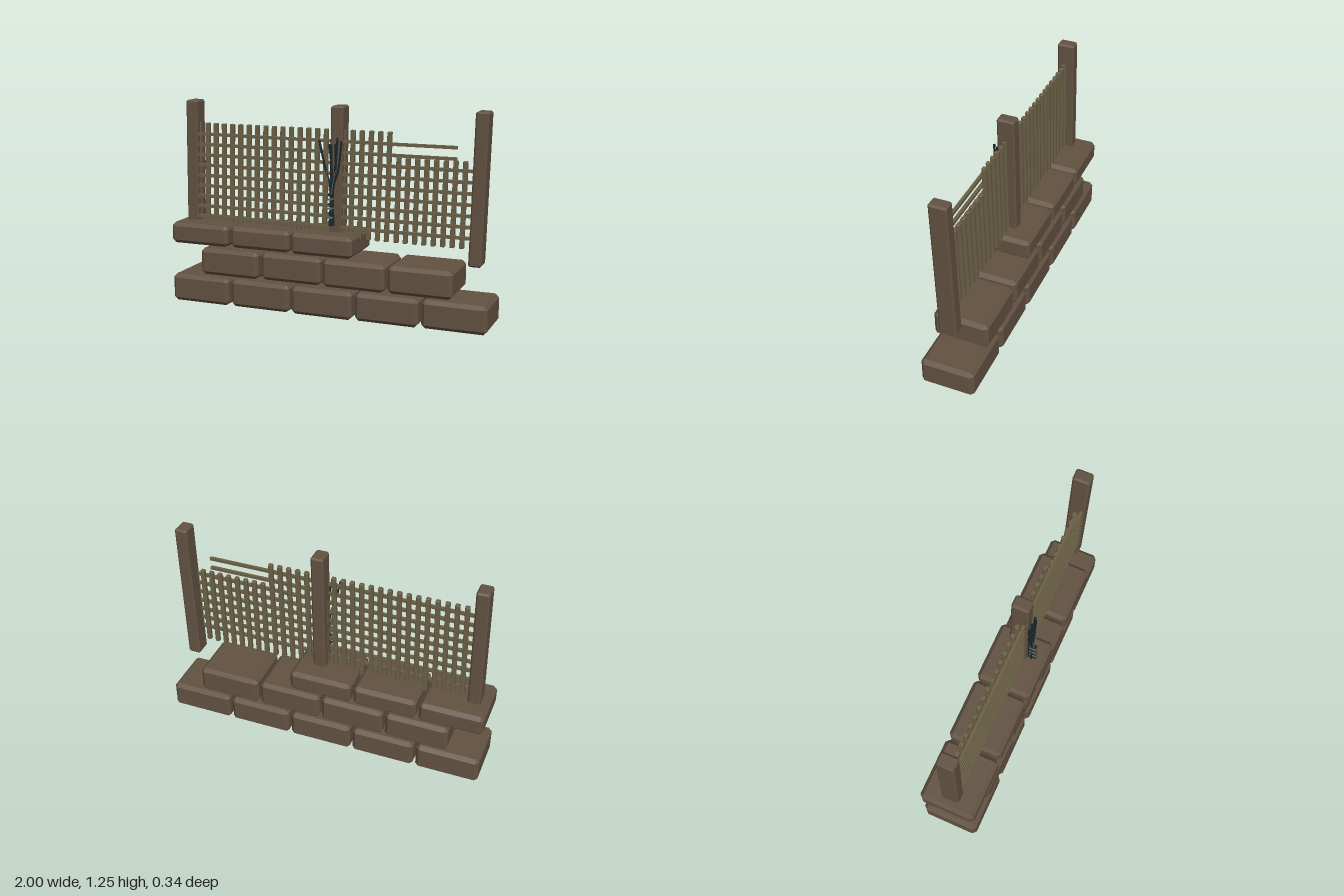
import * as THREE from 'three';
import { ConvexGeometry } from 'three/addons/geometries/ConvexGeometry.js';

const mat = (name, color) => {
  const m = new THREE.MeshStandardMaterial({ color });
  m.name = name;
  return m;
};

// Box with every edge bevelled by c; the top is shifted by (lx, lz) to lean it.
function bevelBox(w, h, d, c, lx = 0, lz = 0) {
  const pts = [];
  for (const sx of [-1, 1]) for (const sy of [-1, 1]) for (const sz of [-1, 1]) {
    for (let flush = 0; flush < 3; flush++) {
      const y = sy * (h / 2 - (flush === 1 ? 0 : c));
      pts.push(new THREE.Vector3(
        sx * (w / 2 - (flush === 0 ? 0 : c)) + lx * (y / h),
        y,
        sz * (d / 2 - (flush === 2 ? 0 : c)) + lz * (y / h)));
    }
  }
  return new ConvexGeometry(pts);
}

export function createModel() {
  const model = new THREE.Group();
  model.name = 'latticeFenceOnStoneWall';
  const brown = mat('earthBrown', 0x625241);
  const olive = mat('oliveWood', 0x6b6046);
  const dark = mat('darkBranch', 0x1d2a2e);
  const tie = mat('greyTie', 0x666a5c);

  const add = (parent, name, geo, material, x = 0, y = 0, z = 0) => {
    const mesh = new THREE.Mesh(geo, material);
    mesh.name = name;
    mesh.position.set(x, y, z);
    parent.add(mesh);
    return mesh;
  };
  const group = (name) => {
    const g = new THREE.Group();
    g.name = name;
    model.add(g);
    return g;
  };

  // Stone courses: first block centre, bottom, top, front z of each block
  const wall = group('stoneWall');
  const courses = [
    { x: -0.807, y0: 0, y1: 0.17, fronts: [0.17, 0.165, 0.17, 0.16, 0.15] },
    { x: -0.606, y0: 0.187, y1: 0.353, fronts: [0.17, 0.155, 0.165, 0.16] },
    { x: -0.807, y0: 0.37, y1: 0.5, fronts: [0.17, 0.16, 0.17] },
  ];
  for (const { x, y0, y1, fronts } of courses) {
    fronts.forEach((front, i) => {
      const back = -0.174;
      add(wall, 'stoneBlock', bevelBox(0.386, y1 - y0, front - back, 0.022), brown,
        x + i * 0.4035, (y0 + y1) / 2, (front + back) / 2);
    });
  }

  // Slightly leaning posts
  const posts = group('posts');
  for (const [bottom, top] of [[-0.911, -0.893], [0.045, 0.065], [0.897, 0.922]]) {
    add(posts, 'post', bevelBox(0.077, 0.884, 0.107, 0.01, top - bottom, 0.012), brown,
      (bottom + top) / 2, 0.808, 0.006);
  }

  // Upright slats, shorter towards the right end
  const slats = group('slats');
  for (let i = 0; i < 31; i++) {
    const x = -0.862 + i * 0.0562;
    const top = i < 23 ? 1.11 : 0.965;
    const lean = 0.028 * (top - 0.46);
    add(slats, 'slat', bevelBox(0.026, top - 0.46, 0.026, 0.003, lean, 0.008), olive,
      x - lean / 2, (top + 0.46) / 2, 0.013);
  }

  // Horizontal rails; the two highest stop short
  const rails = group('rails');
  for (let i = 0; i < 9; i++) {
    const right = i > 6 ? 0.78 : 0.885;
    const left = -0.88;
    add(rails, 'rail', new THREE.BoxGeometry(right - left, 0.018, 0.018), olive,
      (right + left) / 2, 0.529 + i * 0.0642, 0.041);
  }

  // Small bare shrub tied to the lattice
  const shrub = group('shrub');
  const stems = [
    [0.030, 0.089, [[0.036, 0.77], [0.008, 0.87], [-0.035, 1.05]]],
    [0.036, 0.071, [[0.040, 0.78], [0.036, 0.88], [0.022, 1.03]]],
    [0.042, 0.089, [[0.042, 0.78], [0.040, 0.90], [0.042, 1.03]]],
    [0.046, 0.071, [[0.045, 0.78], [0.058, 0.88], [0.062, 1.03]]],
    [0.048, 0.089, [[0.045, 0.77], [0.065, 0.87], [0.080, 1.07]]],
    [0.050, 0.076, [[0.046, 0.77], [0.078, 0.87], [0.100, 1.05]]],
  ];
  const stemTube = (pts, r) =>
    new THREE.TubeGeometry(new THREE.CatmullRomCurve3(pts), 10, r, 5, false);
  for (const [x, z, path] of stems) {
    const pts = [[x, 0.545], ...path].map(([px, py]) => new THREE.Vector3(px, py, z));
    add(shrub, 'stem', stemTube(pts, 0.007), dark);
  }
  // Pale front twigs forming a narrow fork
  for (const s of [-1, 1]) {
    const pts = [[0.006, 0.74], [0.014, 0.8], [0.03, 0.88]]
      .map(([px, py]) => new THREE.Vector3(0.04 + s * px, py, 0.1));
    add(shrub, 'twig', stemTube(pts, 0.003), tie);
  }
  // Ties around the trunk
  for (let i = 0; i < 7; i++) {
    add(shrub, 'tie', new THREE.BoxGeometry(0.024, 0.008, 0.045), i % 2 ? tie : dark,
      0.04, 0.57 + i * 0.0273, 0.096);
  }
  return model;
}
